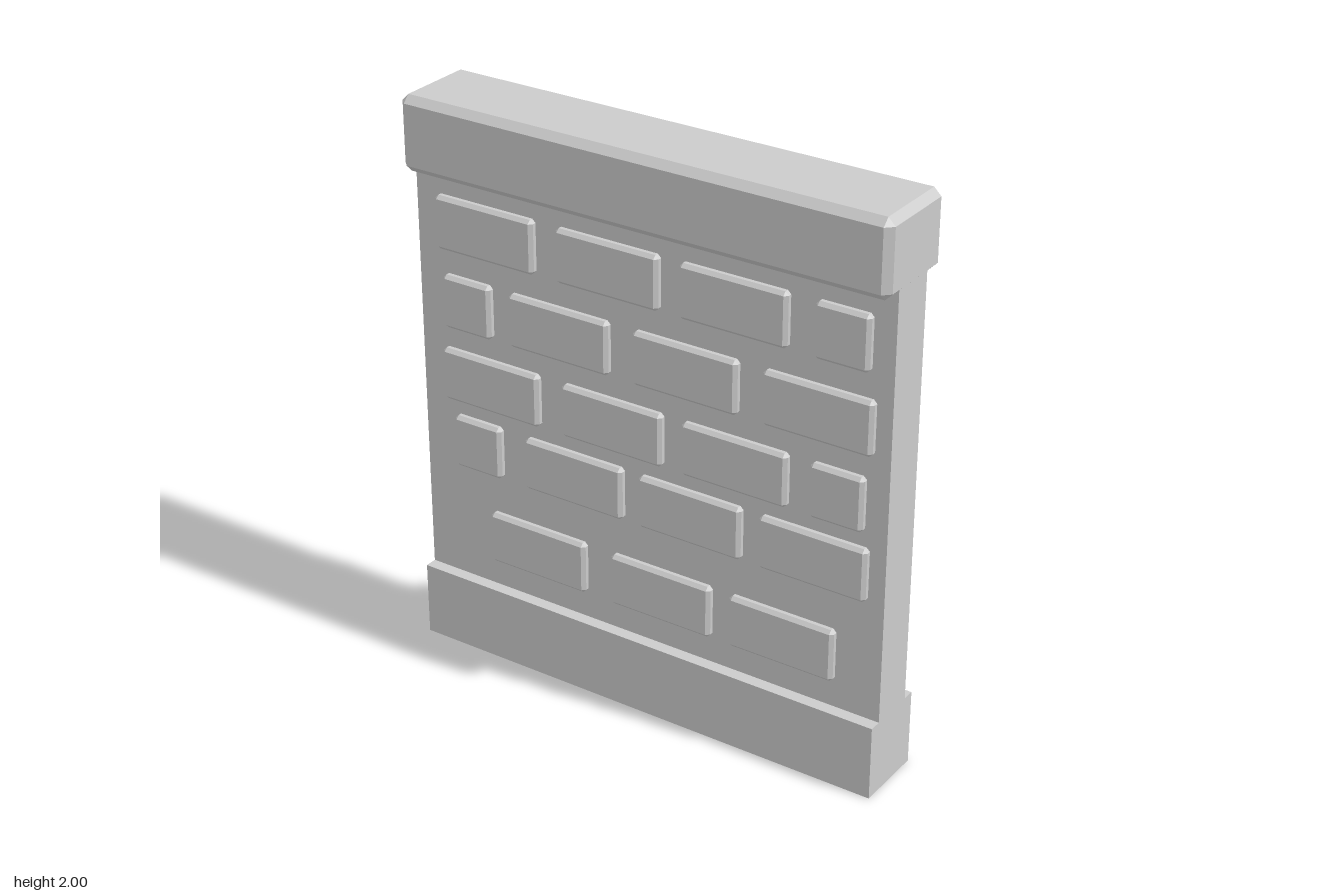
import * as THREE from 'three';
import { ConvexGeometry } from 'three/addons/geometries/ConvexGeometry.js';

const material = new THREE.MeshStandardMaterial({ color: 0xcccccc, flatShading: true });

// Box with every edge chamfered by c
function chamferBox(w, h, d, c) {
  const half = [w / 2, h / 2, d / 2];
  const points = [];
  for (const sx of [-1, 1]) for (const sy of [-1, 1]) for (const sz of [-1, 1]) {
    for (let face = 0; face < 3; face++) {
      const p = half.map((v, i) => (i === face ? v : v - c));
      points.push(new THREE.Vector3(p[0] * sx, p[1] * sy, p[2] * sz));
    }
  }
  return new ConvexGeometry(points);
}

function add(parent, name, geometry, x, y, z) {
  const mesh = new THREE.Mesh(geometry, material);
  mesh.name = name;
  mesh.position.set(x, y, z);
  parent.add(mesh);
  return mesh;
}

// Brick rows: height of the row centre, long brick centres, half brick centres
const rows = [
  { y: 1.57, long: [-0.611, -0.135, 0.33], short: [0.713] },
  { y: 1.294, long: [-0.326, 0.156, 0.635], short: [-0.69] },
  { y: 1.028, long: [-0.603, -0.122, 0.341], short: [0.711] },
  { y: 0.786, long: [-0.275, 0.177, 0.632], short: [-0.664] },
  { y: 0.458, long: [-0.426, 0.066, 0.526], short: [] },
];

export function createModel() {
  const model = new THREE.Group();
  model.name = 'brickWall';
  const midZ = 0.004;

  // Plinth, wall panel and chamfered coping
  add(model, 'plinth', new THREE.BoxGeometry(1.775, 0.265, 0.252), -0.003, 0.1325, midZ);
  add(model, 'wallPanel', new THREE.BoxGeometry(1.775, 1.52, 0.165), -0.003, 1.02, midZ);
  add(model, 'coping', chamferBox(1.784, 0.26, 0.316, 0.025), -0.003, 1.87, 0);

  // Raised bricks, the back face being the front turned half round
  const longBrick = chamferBox(0.388, 0.188, 0.08, 0.012);
  const shortBrick = chamferBox(0.19, 0.19, 0.08, 0.012);
  for (const side of ['front', 'back']) {
    const bricks = new THREE.Group();
    bricks.name = side + 'Bricks';
    for (const row of rows) {
      for (const x of row.long) add(bricks, 'longBrick', longBrick, x, row.y, 0.068);
      for (const x of row.short) add(bricks, 'shortBrick', shortBrick, x, row.y, 0.068);
    }
    bricks.position.z = midZ;
    if (side === 'back') bricks.rotation.y = Math.PI;
    model.add(bricks);
  }
  return model;
}
